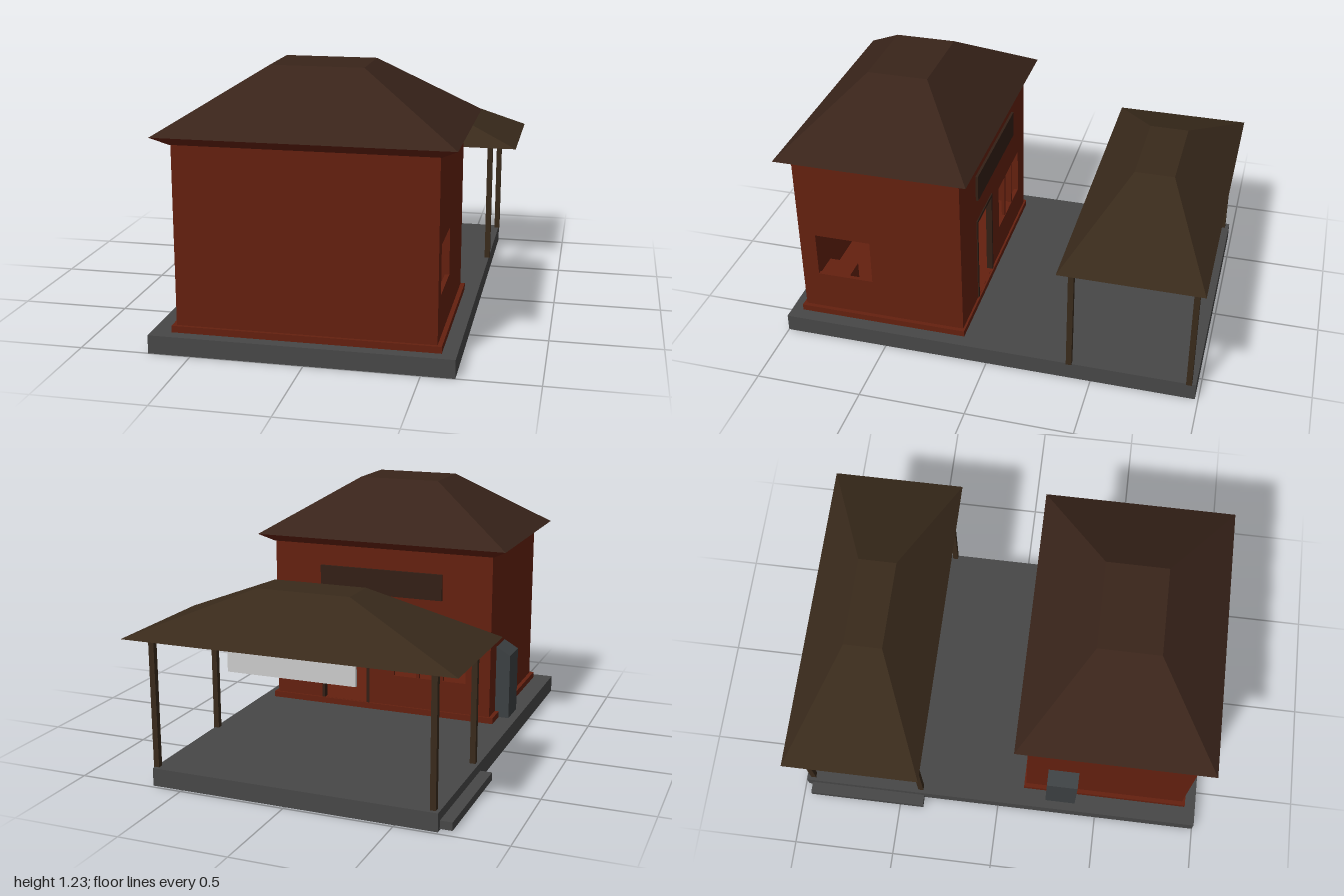
import * as THREE from 'three';

const mat = (color, side = THREE.FrontSide) => new THREE.MeshStandardMaterial({ color, side, flatShading: true });

export function createModel() {
  const model = new THREE.Group();
  const red = mat(0x64200f), brown = mat(0x39241a), canopyBrown = mat(0x392a1b);
  const dark = mat(0x331f15), stone = mat(0x474747), slate = mat(0x3c4042), pale = mat(0xcccccc);

  const add = (name, geometry, material) => {
    const mesh = new THREE.Mesh(geometry, material);
    mesh.name = name;
    model.add(mesh);
    return mesh;
  };

  // Box given by its extents on each axis
  const box = (name, material, x0, x1, y0, y1, z0, z1) => {
    const mesh = add(name, new THREE.BoxGeometry(x1 - x0, y1 - y0, z1 - z0), material);
    mesh.position.set((x0 + x1) / 2, (y0 + y1) / 2, (z0 + z1) / 2);
    return mesh;
  };

  // Closed solid through stacked rectangles [x0, x1, z0, z1, y], lowest first
  const loft = (name, material, levels) => {
    const rings = levels.map(([x0, x1, z0, z1, y]) => [[x0, y, z1], [x1, y, z1], [x1, y, z0], [x0, y, z0]]);
    const pos = [];
    const quad = (a, b, c, d) => pos.push(...a, ...b, ...c, ...a, ...c, ...d);
    for (let k = 0; k < rings.length - 1; k++) {
      const a = rings[k], b = rings[k + 1];
      for (let i = 0; i < 4; i++) {
        const j = (i + 1) % 4;
        quad(a[i], a[j], b[j], b[i]);
      }
    }
    const low = rings[0], top = rings[rings.length - 1];
    quad(low[3], low[2], low[1], low[0]);
    quad(top[0], top[1], top[2], top[3]);
    const geometry = new THREE.BufferGeometry();
    geometry.setAttribute('position', new THREE.Float32BufferAttribute(pos, 3));
    geometry.computeVertexNormals();
    return add(name, geometry, material);
  };

  // Wall panel with rectangular openings [u0, u1, v0, v1]
  const rect = (Type, u0, u1, v0, v1) =>
    new Type([[u0, v0], [u1, v0], [u1, v1], [u0, v1]].map(p => new THREE.Vector2(...p)));
  const panel = (u0, u1, v0, v1, holes, depth) => {
    const shape = rect(THREE.Shape, u0, u1, v0, v1);
    shape.holes = holes.map(h => rect(THREE.Path, ...h));
    return new THREE.ExtrudeGeometry(shape, { depth, bevelEnabled: false });
  };

  // Paved base and side step
  box('platform', stone, -0.69, 0.645, 0, 0.083, -0.985, 1);
  box('sideStep', stone, -0.745, -0.69, 0.005, 0.042, -0.96, -0.38);

  // House walls
  const T = 0.02, Y0 = 0.113, Y1 = 0.915;
  box('plinth', red, -0.6, 0.58, 0.083, Y0, 0.125, 0.945);
  box('frontWall', red, -0.58, 0.56, Y0, Y1, 0.93 - T, 0.93);
  box('rightWall', red, -0.58, -0.58 + T, Y0, Y1, 0.135 + T, 0.93 - T);
  const door = [0.05, 0.31, Y0 + 0.001, 0.56], backWindow = [-0.456, -0.08, 0.27, 0.505];
  add('backWall', panel(-0.58, 0.56, Y0, Y1, [door, backWindow], T), red).position.z = 0.135;
  const sideGeo = panel(-0.93 + T, -0.135 - T, Y0, Y1, [[-0.85, -0.58, 0.305, 0.525]], T);
  sideGeo.rotateY(Math.PI / 2);
  add('leftWall', sideGeo, red).position.x = 0.56 - T;

  // Door frame, window mullions and inner bench
  for (const [x0, x1] of [[0.05, 0.065], [0.295, 0.31]]) box('doorJamb', dark, x0, x1, Y0, 0.56, 0.13, 0.16);
  box('doorHead', dark, 0.065, 0.295, 0.545, 0.56, 0.13, 0.16);
  for (let i = 1; i < 3; i++) {
    const x = -0.456 + i * 0.125;
    box('windowMullion', red, x - 0.008, x + 0.008, 0.27, 0.505, 0.137, 0.153);
  }
  box('innerBench', red, 0.3, 0.538, Y0, 0.2, 0.76, 0.908);

  // Signboard above the back entrance
  box('wallBoard', dark, -0.33, 0.31, 0.68, 0.81, 0.123, 0.136);

  // Flared cornice and hipped roof
  loft('cornice', red, [[-0.585, 0.565, 0.13, 0.935, Y1], [-0.655, 0.635, 0.08, 0.985, 0.953]]);
  loft('houseRoof', brown, [[-0.655, 0.635, 0.08, 0.985, 0.953], [-0.215, 0.197, 0.388, 0.675, 1.225]]);

  // Utility cabinet with a sloping top against the right wall
  const profile = new THREE.Shape([[-0.65, 0.083], [-0.58, 0.083], [-0.58, 0.445], [-0.65, 0.405]]
    .map(p => new THREE.Vector2(...p)));
  add('utilityCabinet', new THREE.ExtrudeGeometry(profile, { depth: 0.15, bevelEnabled: false }), slate)
    .position.z = 0.24;

  // Canopy on four posts, with a hanging board
  for (const x of [-0.661, 0.637])
    for (const z of [-0.397, -0.953])
      box('canopyPost', canopyBrown, x - 0.013, x + 0.013, 0.08, 0.672, z - 0.013, z + 0.013);
  loft('canopyRoof', canopyBrown, [[-0.77, 0.768, -1, -0.355, 0.67], [-0.217, 0.217, -0.77, -0.587, 0.895]]);
  box('hangingBoard', pale, -0.31, 0.28, 0.56, 0.672, -0.935, -0.922);

  return model;
}
